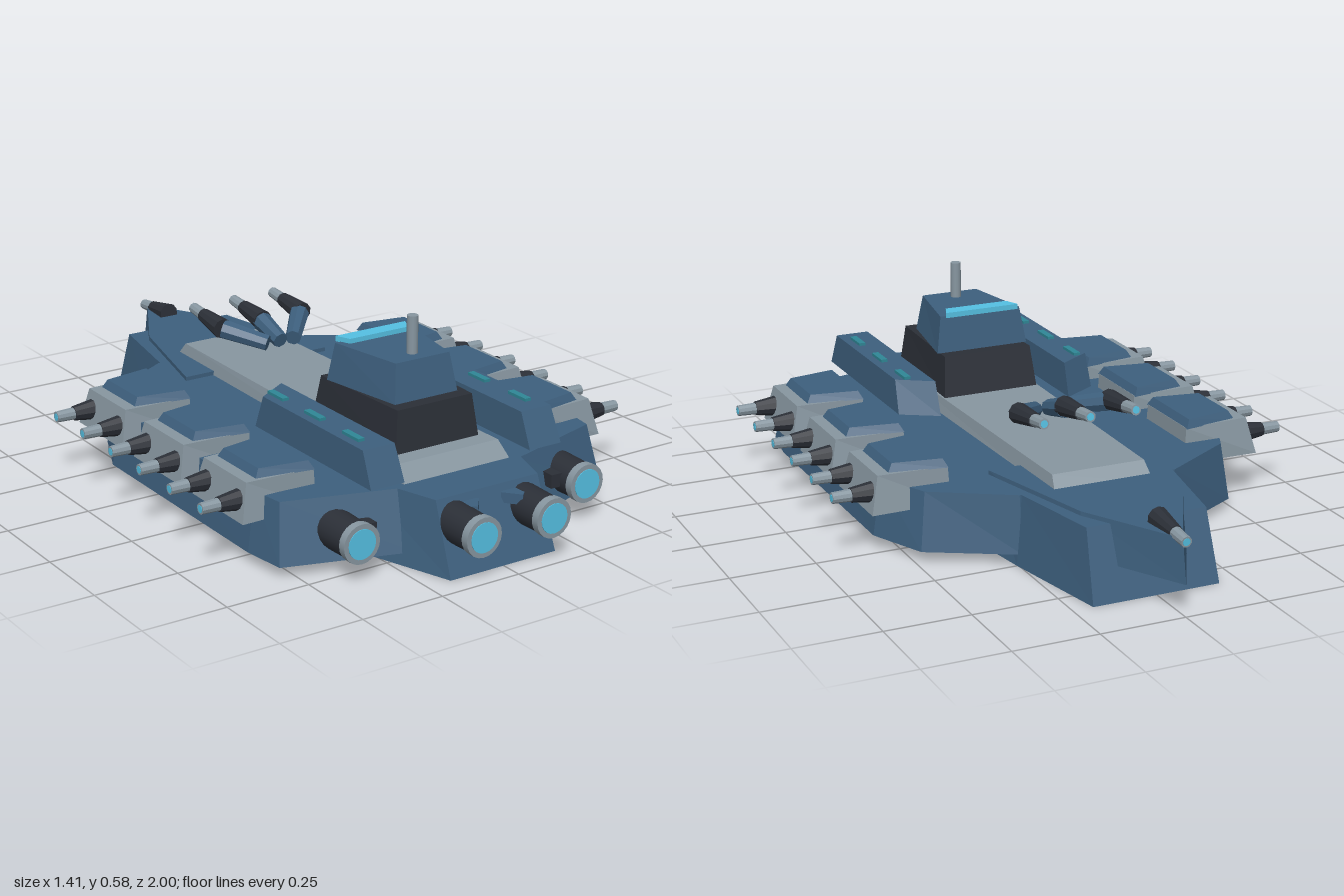
import * as THREE from 'three';

const mat = (color, flat = true) =>
  new THREE.MeshStandardMaterial({ color, flatShading: flat });
const BLUE = mat(0x3d5f7d), GREY = mat(0x8796a0), DARK = mat(0x2b2f37);
const GLOW = mat(0x55c0e2), TEAL = mat(0x2f8796);
const DARK_ROUND = mat(0x2b2f37, false), GREY_ROUND = mat(0x8796a0, false);

// Faceted solid between two outlines ([x, z] points) at heights y0 and y1
function loft(bottom, top, y0, y1) {
  const v2 = (l) => l.map((p) => new THREE.Vector2(p[0], p[1]));
  if (THREE.ShapeUtils.area(v2(bottom)) < 0) {
    bottom = [...bottom].reverse();
    top = [...top].reverse();
  }
  const b = bottom.map((p) => [p[0], y0, p[1]]);
  const t = top.map((p) => [p[0], y1, p[1]]);
  const out = [];
  b.forEach((_, i) => {
    const j = (i + 1) % b.length;
    out.push(...b[i], ...t[i], ...t[j], ...b[i], ...t[j], ...b[j]);
  });
  for (const [i, j, k] of THREE.ShapeUtils.triangulateShape(v2(bottom), []))
    out.push(...b[i], ...b[j], ...b[k]);
  for (const [i, j, k] of THREE.ShapeUtils.triangulateShape(v2(top), []))
    out.push(...t[i], ...t[k], ...t[j]);
  const g = new THREE.BufferGeometry();
  g.setAttribute('position', new THREE.Float32BufferAttribute(out, 3));
  g.computeVertexNormals();
  return g;
}

// Complete a right-hand outline with its mirror image
const sym = (half) => [
  ...half,
  ...[...half].reverse().filter((p) => p[0] !== 0).map(([x, z]) => [-x, z]),
];
// Four-sided outline: half-widths w0 at z0 and w1 at z1
const trap = (w0, z0, w1, z1) => sym([[w0, z0], [w1, z1]]);
const flip = (pts, s) => pts.map(([x, z]) => [x * s, z]);

function add(parent, name, geometry, material, x = 0, y = 0, z = 0) {
  const m = new THREE.Mesh(geometry, material);
  m.name = name;
  m.position.set(x, y, z);
  parent.add(m);
  return m;
}

// Gun along local +y: tapered dark jacket, grey muzzle, lit bore
function gun(name, jacket = 0.07, muzzle = 0.055) {
  const g = new THREE.Group();
  g.name = name;
  add(g, 'jacket', new THREE.CylinderGeometry(0.021, 0.031, jacket, 10), DARK, 0, jacket / 2);
  add(g, 'muzzle', new THREE.CylinderGeometry(0.016, 0.018, muzzle, 10), GREY, 0, jacket + muzzle / 2);
  add(g, 'bore', new THREE.CylinderGeometry(0.011, 0.011, 0.002, 10), GLOW, 0, jacket + muzzle);
  return g;
}

function engine(x, y, z, length) {
  const g = new THREE.Group();
  g.name = 'engine';
  g.position.set(x, y, z);
  g.rotation.x = Math.PI / 2;
  add(g, 'engineBody', new THREE.CylinderGeometry(0.053, 0.057, length, 20), DARK_ROUND, 0, -length / 2 - 0.02);
  add(g, 'nozzleRing', new THREE.CylinderGeometry(0.057, 0.057, 0.024, 20), GREY_ROUND, 0, -0.014);
  add(g, 'exhaust', new THREE.CylinderGeometry(0.043, 0.043, 0.004, 20), GLOW, 0, -0.002);
  return g;
}

export function createModel() {
  const ship = new THREE.Group();
  ship.name = 'warship';

  // Central hull and raised prow
  add(ship, 'hull', loft(
    sym([[0.175, 0.935], [0.29, 0.6], [0.285, -0.3], [0.255, -0.5], [0.19, -0.84]]),
    sym([[0.17, 0.855], [0.25, 0.6], [0.25, -0.3], [0.235, -0.48], [0.18, -0.775]]), 0, 0.2), BLUE);
  add(ship, 'prow', loft(
    sym([[0.25, -0.3], [0.165, -0.7], [0, -0.998]]),
    sym([[0.25, -0.3], [0.155, -0.69], [0, -0.975]]), 0.09, 0.212), BLUE);
  const bowGun = gun('bowGun', 0.1, 0.06);
  bowGun.position.set(0, 0.222, -0.835);
  bowGun.rotation.x = -Math.PI / 2 - 0.08;
  ship.add(bowGun);

  // Grey main deck
  add(ship, 'deck', loft(
    trap(0.18, 0.73, 0.152, -0.53), trap(0.165, 0.685, 0.142, -0.485), 0.19, 0.245), GREY);

  // Command tower
  const tower = new THREE.Group();
  tower.name = 'tower';
  ship.add(tower);
  add(tower, 'towerBase', loft(
    trap(0.152, 0.24, 0.14, 0.63), trap(0.14, 0.265, 0.125, 0.615), 0.24, 0.366), DARK);
  add(tower, 'bridge', loft(
    trap(0.147, 0.305, 0.105, 0.575), trap(0.13, 0.32, 0.09, 0.555), 0.366, 0.476), BLUE);
  add(tower, 'bridgeWindow', loft(
    trap(0.118, 0.305, 0.1, 0.35), trap(0.118, 0.305, 0.1, 0.35), 0.474, 0.49), GLOW);
  add(tower, 'mast', new THREE.CylinderGeometry(0.016, 0.016, 0.11, 12), GREY_ROUND, 0, 0.53, 0.505);

  for (const s of [-1, 1]) {
    // Side hulls
    add(ship, 'sideHull', loft(
      flip([[0.19, 0.79], [0.545, 0.68], [0.562, 0.55], [0.56, -0.2], [0.485, -0.37], [0.24, -0.505], [0.19, -0.5]], s),
      flip([[0.19, 0.74], [0.52, 0.64], [0.535, 0.54], [0.535, -0.2], [0.465, -0.35], [0.24, -0.485], [0.19, -0.48]], s),
      0.032, 0.2), BLUE);

    // Armoured side strips with lights
    add(ship, 'sideStrip', loft(
      flip([[0.21, 0.77], [0.318, 0.77], [0.318, 0.2], [0.21, 0.135]], s),
      flip([[0.212, 0.725], [0.314, 0.725], [0.314, 0.235], [0.212, 0.17]], s), 0.23, 0.328), BLUE);
    for (const z of [0.26, 0.445, 0.63])
      add(ship, 'stripLight', new THREE.BoxGeometry(0.02, 0.015, 0.078), TEAL, s * 0.28, 0.329, z);

    // Gun casemates
    for (const z of [-0.185, 0.14, 0.465]) {
      const pod = new THREE.Group();
      pod.name = 'casemate';
      pod.position.z = z;
      ship.add(pod);
      const quad = (x0, w0, x1, w1) => flip([[x0, -w0], [x1, -w1], [x1, w1], [x0, w0]], s);
      add(pod, 'casemateBody', loft(
        quad(0.37, 0.125, 0.605, 0.13), quad(0.375, 0.118, 0.58, 0.108), 0.138, 0.245), GREY);
      add(pod, 'casemateRoof', loft(
        quad(0.375, 0.125, 0.545, 0.098), quad(0.388, 0.112, 0.53, 0.088), 0.243, 0.268), BLUE);
      for (const dz of [-0.08, 0.08]) {
        const g = gun('sideGun');
        g.position.set(s * 0.58, 0.19, dz);
        g.rotation.z = -s * Math.PI / 2;
        pod.add(g);
      }
    }

    // Engines and their mounting struts
    ship.add(engine(s * 0.378, 0.11, 0.82, 0.16), engine(s * 0.116, 0.132, 1, 0.16));
    add(ship, 'engineStrut', new THREE.BoxGeometry(0.05, 0.03, 0.06), BLUE, s * 0.075, 0.165, 0.875)
      .rotation.y = s * 0.7;
    add(ship, 'engineStrut', new THREE.BoxGeometry(0.06, 0.04, 0.06), DARK, s * 0.325, 0.115, 0.735);
  }

  // Triple deck guns on splayed arms
  const up = new THREE.Vector3(0, 1, 0);
  for (const s of [-1, 0, 1]) {
    const a = new THREE.Vector3(s * 0.045, 0.32, -0.165);
    const b = new THREE.Vector3(s * 0.135, 0.352, -0.27);
    const d = b.clone().sub(a);
    const arm = add(ship, 'gunArm', new THREE.CylinderGeometry(0.03, 0.024, d.length(), 8), BLUE);
    arm.position.copy(a).add(b).multiplyScalar(0.5);
    arm.quaternion.setFromUnitVectors(up, d.normalize());
    const g = gun('deckGun', 0.11, 0.06);
    g.position.set(s * 0.142, 0.355, -0.265);
    g.rotation.x = -Math.PI / 2 + 0.12;
    ship.add(g);
  }
  return ship;
}
